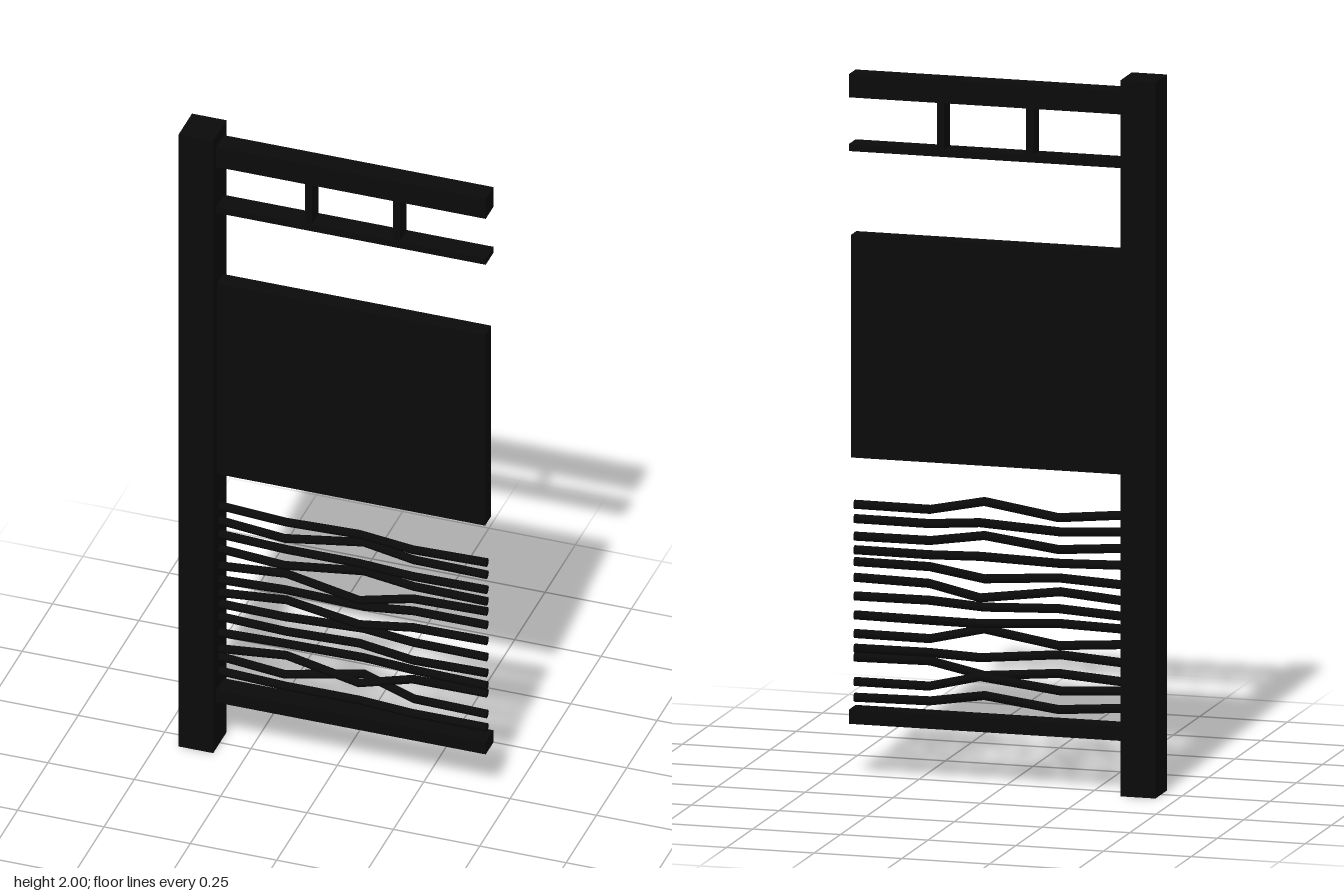
import * as THREE from 'three';

export function createModel() {
  const group = new THREE.Group();
  const black = new THREE.MeshStandardMaterial({ color: 0x0a0a0a });

  // Box given by its x, y and z limits
  function box(name, x0, x1, y0, y1, z0, z1) {
    const mesh = new THREE.Mesh(new THREE.BoxGeometry(x1 - x0, y1 - y0, z1 - z0), black);
    mesh.position.set((x0 + x1) / 2, (y0 + y1) / 2, (z0 + z1) / 2);
    mesh.name = name;
    group.add(mesh);
  }

  // Square post and the rails that run out from it
  box('post', -0.44, -0.34, 0, 2, -0.055, 0.055);
  box('topRail', -0.34, 0.44, 1.9, 1.965, -0.033, 0.03);
  box('secondRail', -0.34, 0.44, 1.75, 1.77, -0.033, 0.03);
  box('bottomRail', -0.34, 0.44, 0.15, 0.19, -0.033, 0.03);
  for (const x of [-0.074, 0.18]) box('picket', x - 0.01, x + 0.01, 1.77, 1.9, -0.029, 0.026);

  // Solid middle panel
  box('panel', -0.34, 0.436, 0.893, 1.515, -0.027, 0.024);

  // Bent rods: a cylinder whose rings are moved to the bends of a path
  const bendX = [-0.345, -0.15, 0.07, 0.22, 0.434];
  const rodHeights = [
    [0.775, 0.757, 0.783, 0.755, 0.757],
    [0.727, 0.714, 0.732, 0.717, 0.717],
    [0.682, 0.668, 0.688, 0.668, 0.668],
    [0.634, 0.626, 0.638, 0.63, 0.63],
    [0.578, 0.589, 0.567, 0.595, 0.597],
    [0.533, 0.547, 0.522, 0.55, 0.553],
    [0.49, 0.503, 0.488, 0.501, 0.501],
    [0.455, 0.458, 0.45, 0.447, 0.448],
    [0.413, 0.4, 0.427, 0.394, 0.396],
    [0.36, 0.371, 0.355, 0.357, 0.355],
    [0.307, 0.322, 0.297, 0.332, 0.33],
    [0.283, 0.27, 0.302, 0.263, 0.262],
    [0.235, 0.221, 0.241, 0.22, 0.218],
  ];
  const radius = 0.0125;
  rodHeights.forEach((heights, i) => {
    const side = i % 2 ? -1 : 1;
    const bendZ = [0, -0.008 * side, 0.02 * side, 0.004 * side, 0];
    const geometry = new THREE.CylinderGeometry(radius, radius, 4, 10, 4);
    geometry.rotateZ(-Math.PI / 2);
    const p = geometry.attributes.position;
    for (let v = 0; v < p.count; v++) {
      const ring = Math.round(p.getX(v) + 2);
      p.setXYZ(v, bendX[ring], p.getY(v) + heights[ring], p.getZ(v) + bendZ[ring]);
    }
    geometry.computeVertexNormals();
    const rod = new THREE.Mesh(geometry, black);
    rod.name = 'bentRod';
    group.add(rod);
  });

  return group;
}
